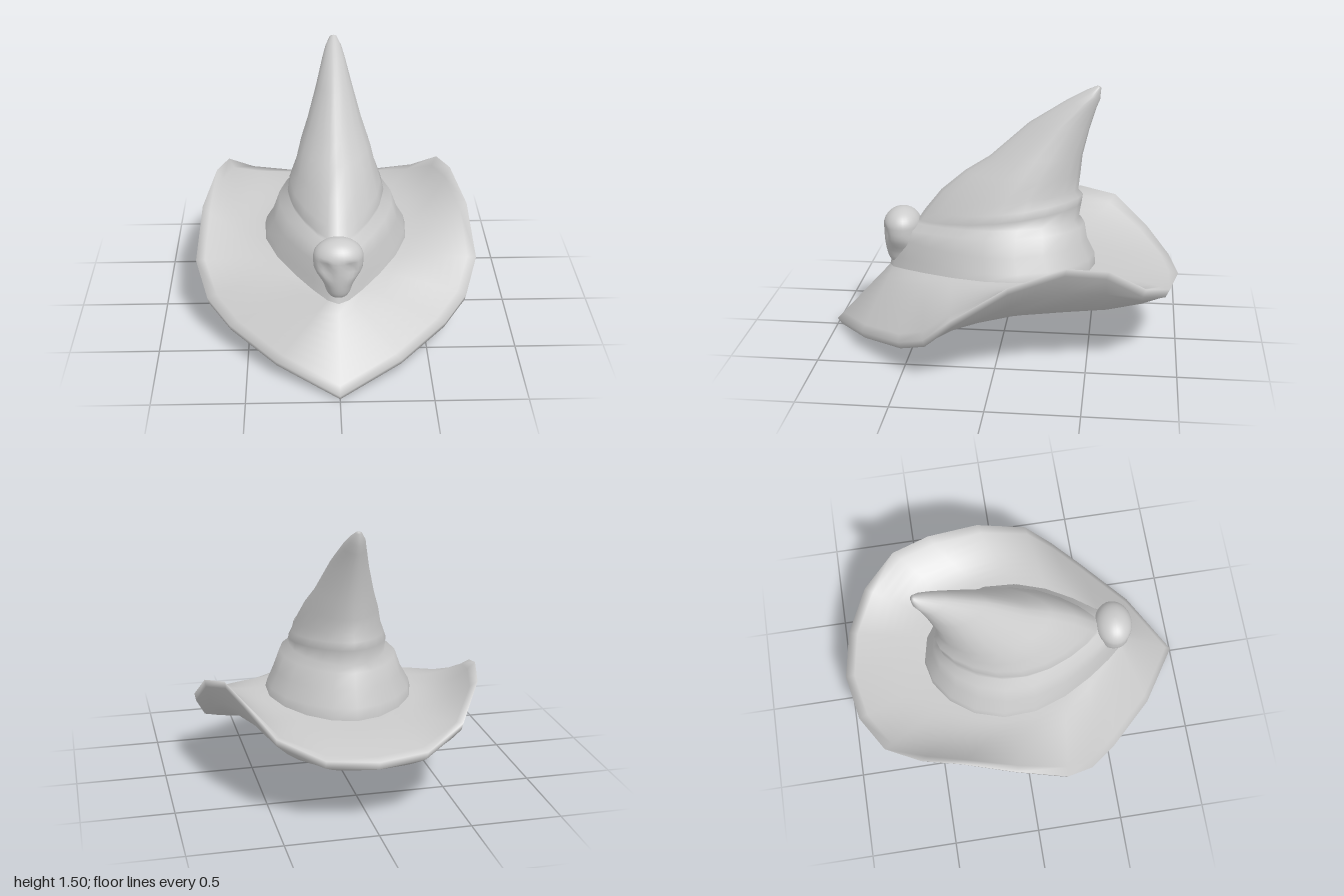
import * as THREE from 'three';

const material = new THREE.MeshStandardMaterial({ color: 0xcccccc });
const { lerp, smoothstep } = THREE.MathUtils;

// Skin closed rings of [x, y, z] points.
function loft(name, rings) {
  const n = rings[0].length, index = [];
  for (let j = 0; j < rings.length - 1; j++) {
    for (let i = 0; i < n; i++) {
      const k = (i + 1) % n;
      const a = j * n + i, b = j * n + k, c = a + n, d = b + n;
      index.push(a, b, d, a, d, c);
    }
  }
  const g = new THREE.BufferGeometry();
  g.setAttribute('position', new THREE.Float32BufferAttribute(rings.flat(2), 3));
  g.setIndex(index);
  g.computeVertexNormals();
  const mesh = new THREE.Mesh(g, material);
  mesh.name = name;
  return mesh;
}

// Mirror the inner entries of a front-to-back half list into a full ring
const fullRing = (list, mirror) => [...list, ...list.slice(1, -1).reverse().map(mirror)];

// Brim edge, left half from the front point to the back
const edge = fullRing([
  [0, 0.035, 1], [0.34, 0.11, 0.78], [0.6, 0.18, 0.52], [0.73, 0.26, 0.36],
  [0.797, 0.41, 0.2], [0.77, 0.6, -0.1], [0.7, 0.69, -0.4], [0.64, 0.66, -0.62],
  [0.5, 0.51, -0.82], [0.27, 0.42, -0.95], [0, 0.41, -1],
], ([x, y, z]) => [-x, y, z]);
// Height of the underside along the centre line, one per edge point
const keel = fullRing([0, 0.06, 0.13, 0.175, 0.22, 0.25, 0.26, 0.275, 0.32, 0.345, 0.36], (y) => y);
const N = edge.length;
// Steps from the front point, the same on both sides
const fromFront = (i) => Math.min(i, N - i);

// Crown rings: front z, front y, back z, back y, half width, egg shape, side lift
const crownRings = [
  [0.67, 0.40, -0.525, 0.45, 0.4, 0.32, 0.05],
  [0.655, 0.47, -0.52, 0.52, 0.39, 0.32, 0.02],
  [0.635, 0.58, -0.475, 0.61, 0.35, 0.3, 0],
  [0.60, 0.63, -0.46, 0.70, 0.317, 0.28, 0.025],
  [0.52, 0.67, -0.425, 0.73, 0.262, 0.22, 0.02],
  [0.495, 0.69, -0.44, 0.82, 0.272, 0.12, 0.01],
  [0.455, 0.75, -0.447, 0.87, 0.255, 0.1, 0],
  [0.36, 0.87, -0.42, 0.90, 0.23, 0.1, 0],
  [0.22, 0.99, -0.43, 0.99, 0.20, 0.1, 0],
  [0.08, 1.08, -0.44, 1.10, 0.16, 0.1, 0],
  [-0.14, 1.28, -0.475, 1.25, 0.105, 0.05, 0],
  [-0.35, 1.415, -0.51, 1.37, 0.065, 0, 0],
  [-0.45, 1.47, -0.53, 1.42, 0.045, 0, 0],
  [-0.51, 1.495, -0.535, 1.485, 0.018, 0, 0],
  [-0.522, 1.495, -0.522, 1.495, 0, 0, 0],
];
function crownRing([zf, yf, zb, yb, w, egg, lift]) {
  return Array.from({ length: N }, (_, i) => {
    const a = (i / N) * Math.PI * 2, c = Math.cos(a), s = Math.sin(a), t = (1 - c) / 2;
    return [w * s * (1 - egg * c - 0.25 * c * c), lerp(yf, yb, t) + lift * s * s, lerp(zf, zb, t)];
  });
}

// Brim: flat-bottomed underside, rounded edge, then a top that levels out to a shelf at the crown
function brimRings() {
  const base = crownRing(crownRings[0]), steps = 9, rings = [];
  for (let j = 0; j <= steps; j++) {
    const s = j / steps;
    rings.push(edge.map(([x, y, z], i) => {
      const rim = y - 0.035 - 0.0015 * fromFront(i);
      return [x * 0.99 * s, lerp(Math.min(keel[i], rim), rim, s ** 3.5), z * 0.975];
    }));
  }
  for (let j = 0; j <= steps; j++) {
    const u = 1 - j / steps;
    rings.push(edge.map(([x, y, z], i) => {
      const [bx, by, bz] = base[i];
      const curve = 1 + 1.2 * smoothstep(fromFront(i), 2, 5);
      return [lerp(bx, x, u), lerp(by, y, u ** curve), lerp(bz, z, u)];
    }));
  }
  return rings;
}

// Skull ornament: a sphere with a squarer lower half drawn in to a jaw, and eye sockets
function skull() {
  const g = new THREE.SphereGeometry(1, 28, 24), p = g.attributes.position;
  for (let i = 0; i < p.count; i++) {
    let x = p.getX(i), y = p.getY(i), z = p.getZ(i);
    const r = Math.hypot(x, z);
    const swell = y < 0 && r > 0.001 ? r ** -0.6 : 1;
    const jaw = smoothstep(-y, 0.2, 0.75);
    const socket = Math.exp(-((Math.abs(x) - 0.5) ** 2 + (y + 0.17) ** 2) / 0.03);
    z *= swell;
    if (z > 0) z -= 0.25 * socket;
    else z *= 1 + 0.6 * jaw;
    x *= swell * 0.135 * (1 - 0.35 * jaw);
    y *= y > 0 ? 0.1 : 0.235;
    p.setXYZ(i, x, 0.655 + y, 0.59 + z * 0.108);
  }
  g.computeVertexNormals();
  const mesh = new THREE.Mesh(g, material);
  mesh.name = 'skullOrnament';
  return mesh;
}

export function createModel() {
  const hat = new THREE.Group();
  hat.name = 'pointedHat';
  hat.add(loft('brim', brimRings()), loft('crown', crownRings.map(crownRing)), skull());
  return hat;
}
